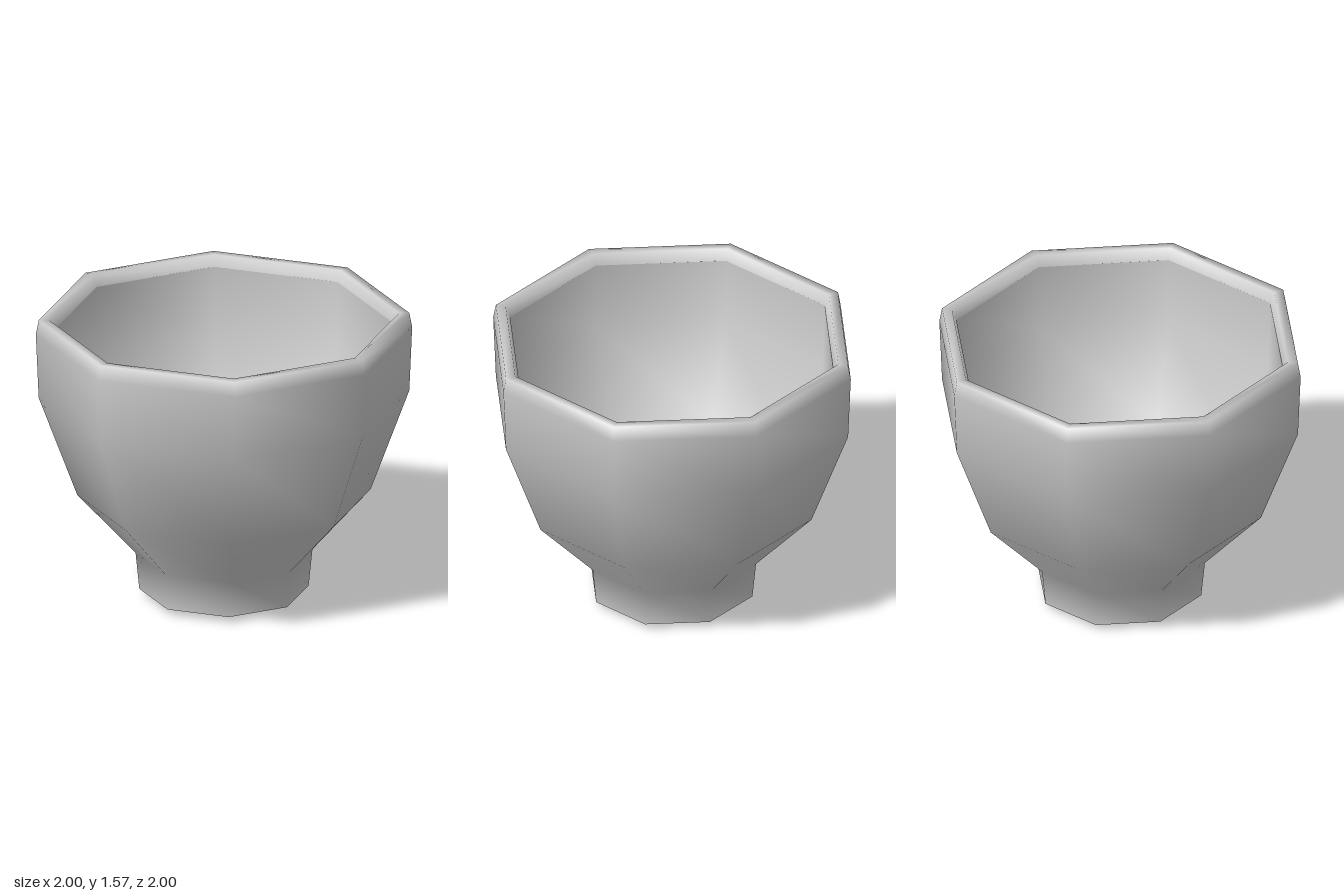
import * as THREE from 'three';

const SIDES = 8;

export function createModel() {
  const cup = new THREE.Group();
  cup.name = 'cup';
  const material = new THREE.MeshStandardMaterial({ color: 0xcccccc, side: THREE.DoubleSide });

  // Each part is an eight-sided turned surface; splitting parts keeps their shared edges crisp.
  const turn = (name, profile) => {
    const points = profile.map(([r, y]) => new THREE.Vector2(r, y));
    const mesh = new THREE.Mesh(new THREE.LatheGeometry(points, SIDES), material);
    mesh.name = name;
    cup.add(mesh);
  };

  // Shallow cone under the foot
  turn('underside', [[0, 0], [0.45, 0.035]]);

  // Foot, flared bowl and rolled lip
  turn('outerWall', [
    [0.45, 0.035], [0.47, 0.24], [0.78, 0.575], [0.985, 1.13],
    [1, 1.49], [0.985, 1.57], [0.93, 1.57], [0.905, 1.51],
  ]);

  // Hollow of the bowl, from the lip down to the floor
  turn('innerWall', [[0.905, 1.51], [0.895, 1.14], [0.7, 0.62], [0.4, 0.28]]);
  turn('floor', [[0.4, 0.28], [0, 0.28]]);

  return cup;
}
